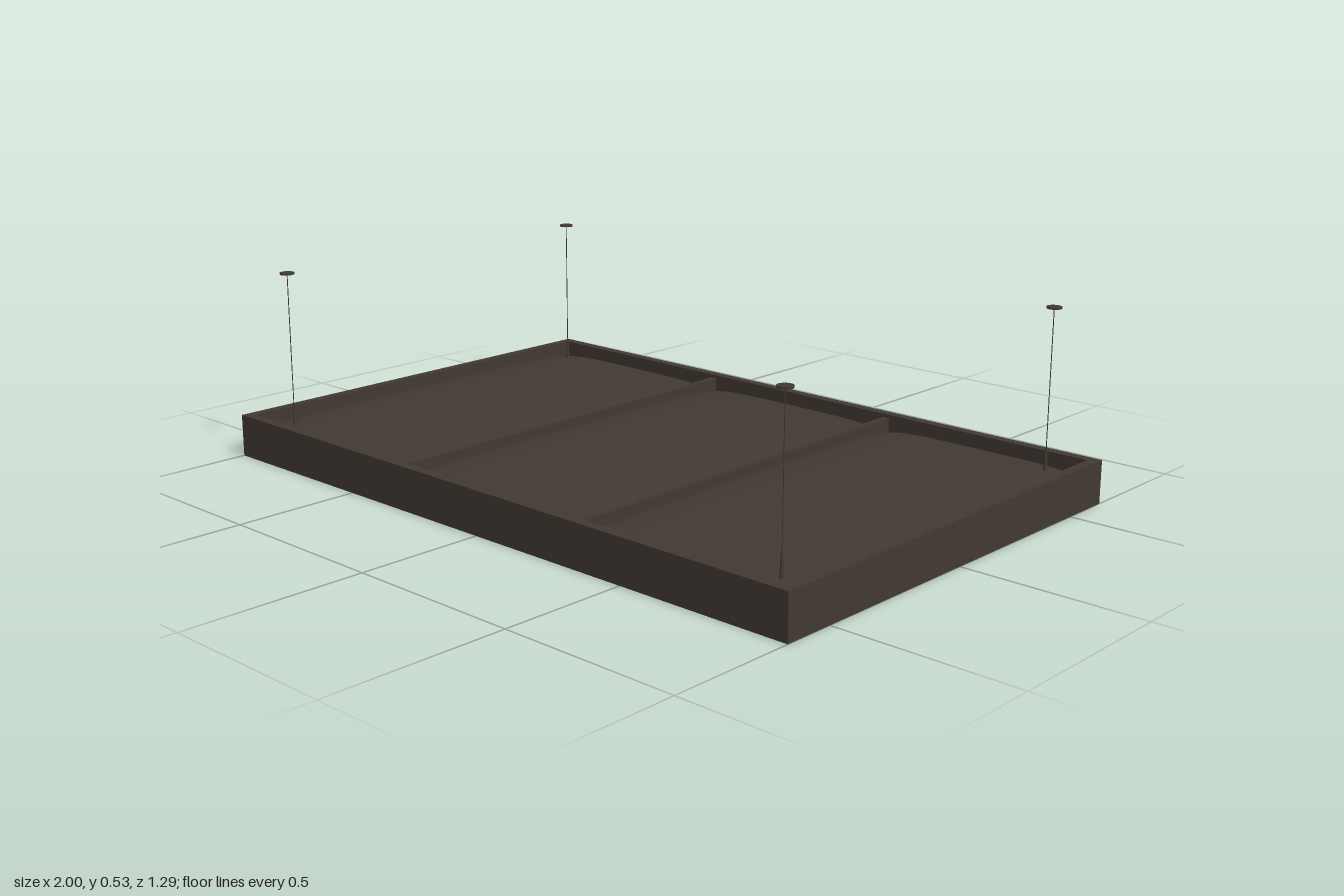
import * as THREE from 'three';

const HX = 1, HZ = 0.645, WALL = 0.028, H = 0.12;

// Upper half of a pillow panel: flat crown, rolled edges, corners pulled in
function pillowGeometry(hx, hz, rise) {
  const geo = new THREE.PlaneGeometry(2, 2, 40, 40).rotateX(-Math.PI / 2);
  const p = geo.attributes.position;
  const fall = (u) => Math.pow(Math.max(0, 1 - Math.pow(Math.abs(u), 4)), 0.25);
  for (let i = 0; i < p.count; i++) {
    const u = Math.sin(p.getX(i) * Math.PI / 2); // finer steps near the edges
    const v = Math.sin(p.getZ(i) * Math.PI / 2);
    p.setXYZ(i,
      u * (hx - 0.012 * Math.pow(v, 6)),
      rise * fall(u) * fall(v),
      v * (hz - 0.012 * Math.pow(u, 6)));
  }
  geo.computeVertexNormals();
  return geo;
}

export function createModel() {
  const model = new THREE.Group();
  const bronze = new THREE.MeshStandardMaterial({ color: 0x403931 });
  bronze.name = 'dark bronze';

  const add = (name, geo, x, y, z, parent = model) => {
    const mesh = new THREE.Mesh(geo, bronze);
    mesh.name = name;
    mesh.position.set(x, y, z);
    parent.add(mesh);
    return mesh;
  };

  // Outer frame: one rectangular ring
  const ring = new THREE.Shape([
    new THREE.Vector2(-HX, -HZ), new THREE.Vector2(HX, -HZ),
    new THREE.Vector2(HX, HZ), new THREE.Vector2(-HX, HZ)]);
  const ix = HX - WALL, iz = HZ - WALL;
  ring.holes.push(new THREE.Path([
    new THREE.Vector2(-ix, -iz), new THREE.Vector2(-ix, iz),
    new THREE.Vector2(ix, iz), new THREE.Vector2(ix, -iz)]));
  const frameGeo = new THREE.ExtrudeGeometry(ring, { depth: H, bevelEnabled: false });
  add('outerFrame', frameGeo.rotateX(-Math.PI / 2), 0, 0, 0);

  // Cross bars between the panels
  const barGeo = new THREE.BoxGeometry(0.02, 0.095, 2 * iz);
  for (const s of [-1, 1]) add('crossBar', barGeo, s * 0.327, 0.0625, 0);

  // Three pillow panels, each an upper half and the same half turned over
  const pillowGeo = pillowGeometry(0.32, 0.62, 0.046);
  for (const k of [-1, 0, 1]) {
    const panel = new THREE.Group();
    panel.name = 'pillowPanel';
    panel.position.set(k * 0.654, 0.06, 0);
    model.add(panel);
    add('panelTop', pillowGeo, 0, 0, 0, panel);
    add('panelUnderside', pillowGeo, 0, 0, 0, panel).rotation.x = Math.PI;
  }

  // Four suspension cables with lower grips and ceiling discs
  const gripGeo = new THREE.CylinderGeometry(0.003, 0.006, 0.065, 12);
  const cableGeo = new THREE.CylinderGeometry(0.0012, 0.0012, 0.39, 8);
  const discGeo = new THREE.CylinderGeometry(0.02, 0.02, 0.005, 24);
  for (const sx of [-1, 1]) for (const sz of [-1, 1]) {
    const hanger = new THREE.Group();
    hanger.name = 'suspension';
    hanger.position.set(sx * 0.895, 0, sz * 0.54);
    model.add(hanger);
    add('cableGrip', gripGeo, 0, 0.1225, 0, hanger);
    add('cable', cableGeo, 0, 0.335, 0, hanger);
    add('ceilingDisc', discGeo, 0, 0.5285, 0, hanger);
  }
  return model;
}
